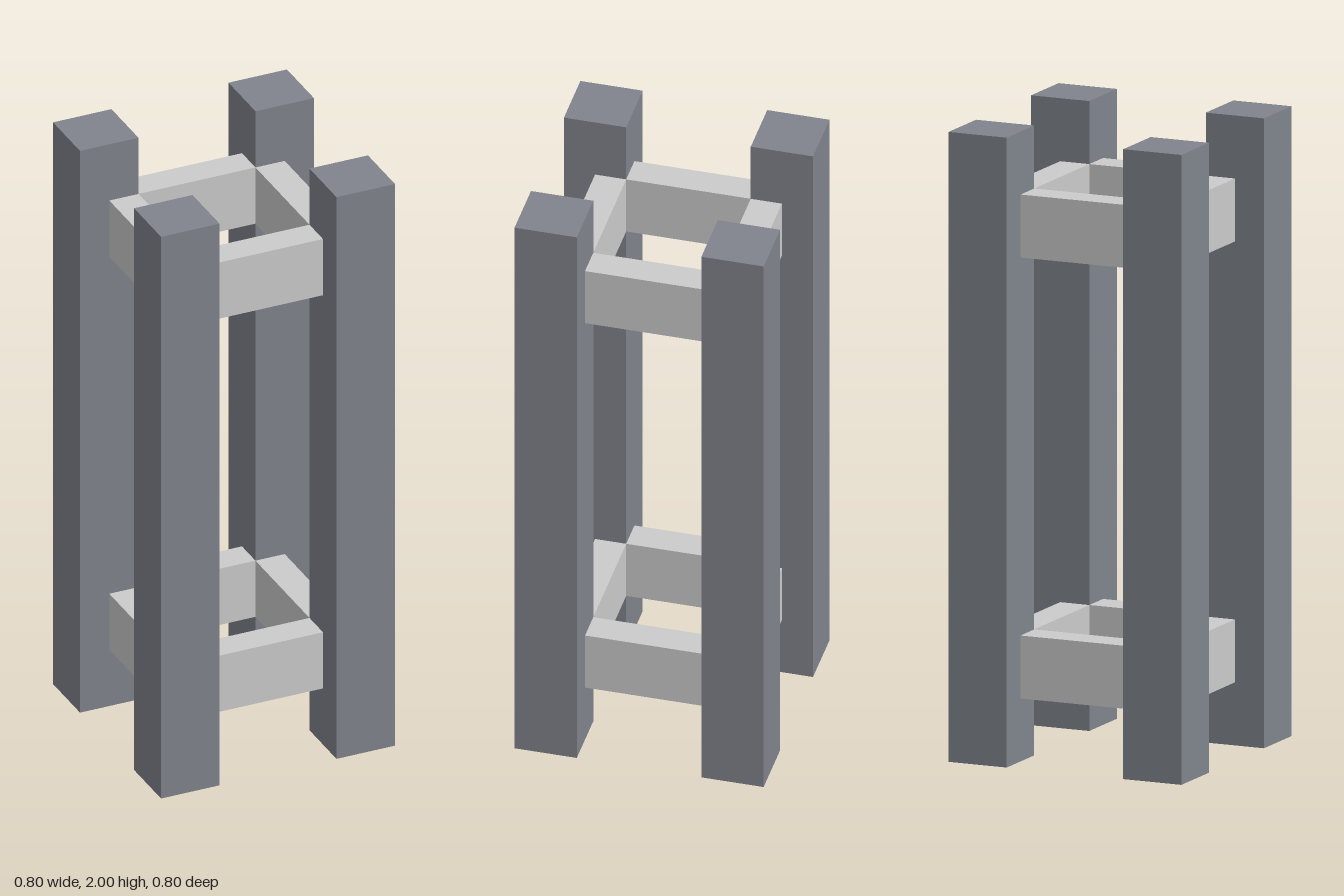
import * as THREE from 'three';

export function createModel() {
  const model = new THREE.Group();
  model.name = 'frame';
  const postMaterial = new THREE.MeshStandardMaterial({ color: 0x80848c });
  const railMaterial = new THREE.MeshStandardMaterial({ color: 0xcccccc });

  function addBox(name, size, position, material) {
    const mesh = new THREE.Mesh(new THREE.BoxGeometry(...size), material);
    mesh.name = name;
    mesh.position.set(...position);
    model.add(mesh);
  }

  // Four square corner posts
  for (const x of [-1, 1]) {
    for (const z of [-1, 1]) {
      const name = (z > 0 ? 'front' : 'back') + (x > 0 ? 'Left' : 'Right') + 'Post';
      addBox(name, [0.2, 2, 0.2], [x * 0.3, 1, z * 0.3], postMaterial);
    }
  }

  // Lower and upper rings of rails between the posts
  for (const [level, y] of [['lower', 0.3], ['upper', 1.7]]) {
    for (const s of [-1, 1]) {
      addBox(level + (s > 0 ? 'Front' : 'Back') + 'Rail', [0.4, 0.2, 0.1], [0, y, s * 0.25], railMaterial);
      addBox(level + (s > 0 ? 'Left' : 'Right') + 'Rail', [0.1, 0.2, 0.4], [s * 0.25, y, 0], railMaterial);
    }
  }

  return model;
}
